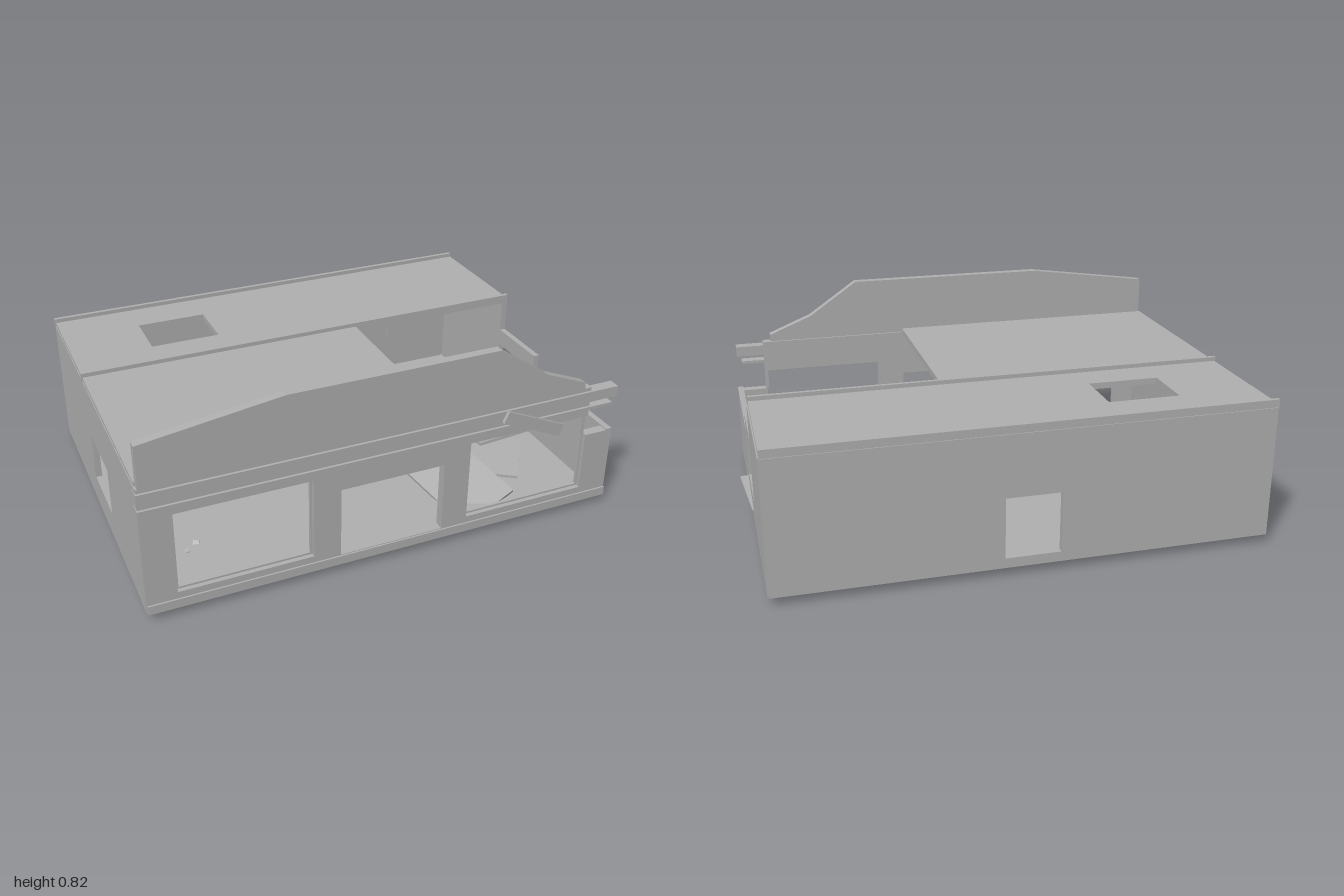
import * as THREE from 'three';

export function createModel() {
  const root = new THREE.Group();
  root.name = 'ruinedBuilding';
  const concrete = new THREE.MeshStandardMaterial({ color: 0xb0b0b0 });
  concrete.name = 'concrete grey';

  const add = (name, geometry, parent = root) => {
    const mesh = new THREE.Mesh(geometry, concrete);
    mesh.name = name;
    parent.add(mesh);
    return mesh;
  };
  // Box given by its limits on each axis
  const box = (name, x0, x1, y0, y1, z0, z1, parent) => {
    const m = add(name, new THREE.BoxGeometry(x1 - x0, y1 - y0, z1 - z0), parent);
    m.position.set((x0 + x1) / 2, (y0 + y1) / 2, (z0 + z1) / 2);
    return m;
  };
  const toPoints = (list) => list.map(([u, v]) => new THREE.Vector2(u, v));
  const rect = (u0, u1, v0, v1) => [[u0, v0], [u1, v0], [u1, v1], [u0, v1]];
  // Flat panel with openings, thickness along +z
  const panel = (outline, holes, depth) => {
    const shape = new THREE.Shape(toPoints(outline));
    holes.forEach((h) => shape.holes.push(new THREE.Path(toPoints(h))));
    return new THREE.ExtrudeGeometry(shape, { depth, bevelEnabled: false });
  };
  // Loose slab spanned by a corner and its two neighbours, thickness t
  const slab = (name, corner, a, b, t) => {
    const o = new THREE.Vector3(...corner);
    const u = new THREE.Vector3(...a).sub(o);
    const v = new THREE.Vector3(...b).sub(o);
    const n = new THREE.Vector3().crossVectors(u, v).normalize();
    const g = new THREE.BoxGeometry(1, 1, t);
    g.translate(0.5, 0.5, 0);
    g.applyMatrix4(new THREE.Matrix4().makeBasis(u, v, n).setPosition(o));
    return add(name, g);
  };

  // Floor
  box('floor', -0.98, 0.955, 0.035, 0.045, -0.715, 0.665);

  // Front wall: left window, doorway, and a right window open at the broken corner
  const front = panel(
    [[-0.985, 0.035], [0.96, 0.035], [0.96, 0.35], [0.84, 0.35], [0.84, 0.1], [0.31, 0.1],
      [0.31, 0.44], [0.84, 0.44], [0.84, 0.57], [-0.985, 0.57]],
    [rect(-0.87, -0.34, 0.1, 0.44), rect(-0.23, 0.2, 0.075, 0.37)], 0.04);
  add('frontWall', front).position.z = 0.63;
  box('frontPlinth', -0.985, 0.965, 0.035, 0.072, 0.668, 0.677);
  box('brokenCornerPost', 0.825, 0.84, 0.35, 0.44, 0.64, 0.655);
  box('upperBand', -0.99, 0.96, 0.51, 0.555, 0.632, 0.68);
  box('lowerBand', -0.99, 0.94, 0.475, 0.487, 0.632, 0.68);

  // Frames set inside the front windows
  for (const [x0, x1] of [[-0.87, -0.34], [0.31, 0.84]]) {
    const frame = panel(rect(x0, x1, 0.1, 0.44), [rect(x0 + 0.008, x1 - 0.008, 0.108, 0.432)], 0.012);
    add('windowFrame', frame).position.z = 0.64;
  }

  // Broken parapet
  const parapet = panel([[-0.98, 0.57], [0.805, 0.57], [0.805, 0.6], [0.62, 0.675],
    [0.41, 0.82], [-0.44, 0.82], [-0.98, 0.745]], [], 0.036);
  add('parapet', parapet).position.z = 0.639;

  // Back wall with its doorway
  const back = panel(rect(-0.985, 0.96, 0.035, 0.57), [rect(-0.13, 0.09, 0.075, 0.32)], 0.025);
  add('backWall', back).position.z = -0.725;

  // Side walls: the +x one has collapsed in steps towards the front
  const leftWall = panel(
    [[-0.715, 0.035], [0.67, 0.035], [0.67, 0.355], [0.12, 0.355], [0.12, 0.425],
      [-0.17, 0.425], [-0.17, 0.57], [-0.715, 0.57]],
    [rect(-0.168, 0.118, 0.155, 0.353)], 0.025).rotateY(-Math.PI / 2);
  add('brokenSideWall', leftWall).position.x = 0.965;
  const rightWall = panel(rect(-0.715, 0.665, 0.035, 0.57),
    [rect(-0.1, 0.18, 0.155, 0.355)], 0.025).rotateY(-Math.PI / 2);
  add('sideWall', rightWall).position.x = -0.963;

  // Roof with a hatch at the rear and a collapsed front corner
  const roof = panel(
    [[-0.985, -0.72], [0.96, -0.72], [0.96, -0.17], [0.2, -0.17], [0.2, 0.64], [-0.985, 0.64]],
    [rect(-0.66, -0.37, -0.54, -0.32)], 0.025).rotateX(Math.PI / 2);
  add('roof', roof).position.y = 0.585;
  for (const z of [-0.17, -0.713]) box('roofLedge', -0.99, 0.96, 0.57, 0.602, z - 0.008, z + 0.008);

  // Fallen roof slabs
  slab('leaningSlab', [0.34, 0.005, 0.62], [0.61, 0.06, 0.54], [0.235, 0.095, 0.26], 0.012);
  slab('floorSlab', [0.38, 0.055, 0.25], [0.68, 0.06, 0.46], [0.54, 0.07, 0.015], 0.012);
  slab('sideSlab', [0.63, 0.105, 0.23], [1.0, 0.108, 0.2], [0.6, 0.075, -0.055], 0.014);
  const plank = add('hangingPlank', new THREE.BoxGeometry(0.28, 0.05, 0.015));
  plank.position.set(0.555, 0.495, 0.713);
  plank.rotation.z = -0.42;

  // Desks
  for (const [x, z] of [[0.2, -0.26], [0.55, -0.27]]) {
    const desk = new THREE.Group();
    desk.name = 'desk';
    root.add(desk);
    box('deskBody', x - 0.095, x + 0.095, 0.045, 0.12, z - 0.05, z + 0.05, desk);
    box('deskTop', x - 0.11, x + 0.11, 0.12, 0.132, z - 0.065, z + 0.065, desk);
  }

  // Round heavy door with a six-sided hub
  const door = new THREE.Group();
  door.name = 'roundDoor';
  door.position.set(-0.45, 0.2, -0.38);
  root.add(door);
  [[0.16, 0.06, 32, 0], [0.14, 0.08, 32, 0], [0.1, 0.1, 6, 0], [0.085, 0.12, 6, 0]].forEach(([r, h, n]) => {
    add(n === 6 ? 'doorHub' : 'doorDisc', new THREE.CylinderGeometry(r, r, h, n).rotateX(Math.PI / 2), door);
  });

  // Thin rods along the back wall
  for (const x of [-0.81, -0.655, -0.155, 0.19, 0.62]) {
    box('wallRod', x - 0.003, x + 0.003, 0.22, 0.41, -0.7, -0.69);
  }

  // Small rubble
  [[-0.76, 0.38], [-0.71, 0.35], [0.25, 0.14], [0.31, 0.15], [0.33, 0.2]].forEach(([x, z], i) => {
    const chip = add('rubble', new THREE.BoxGeometry(0.035, 0.012, 0.025));
    chip.position.set(x, 0.04, z);
    chip.rotation.set(0.3 * i, i, 0.25);
  });
  return root;
}
